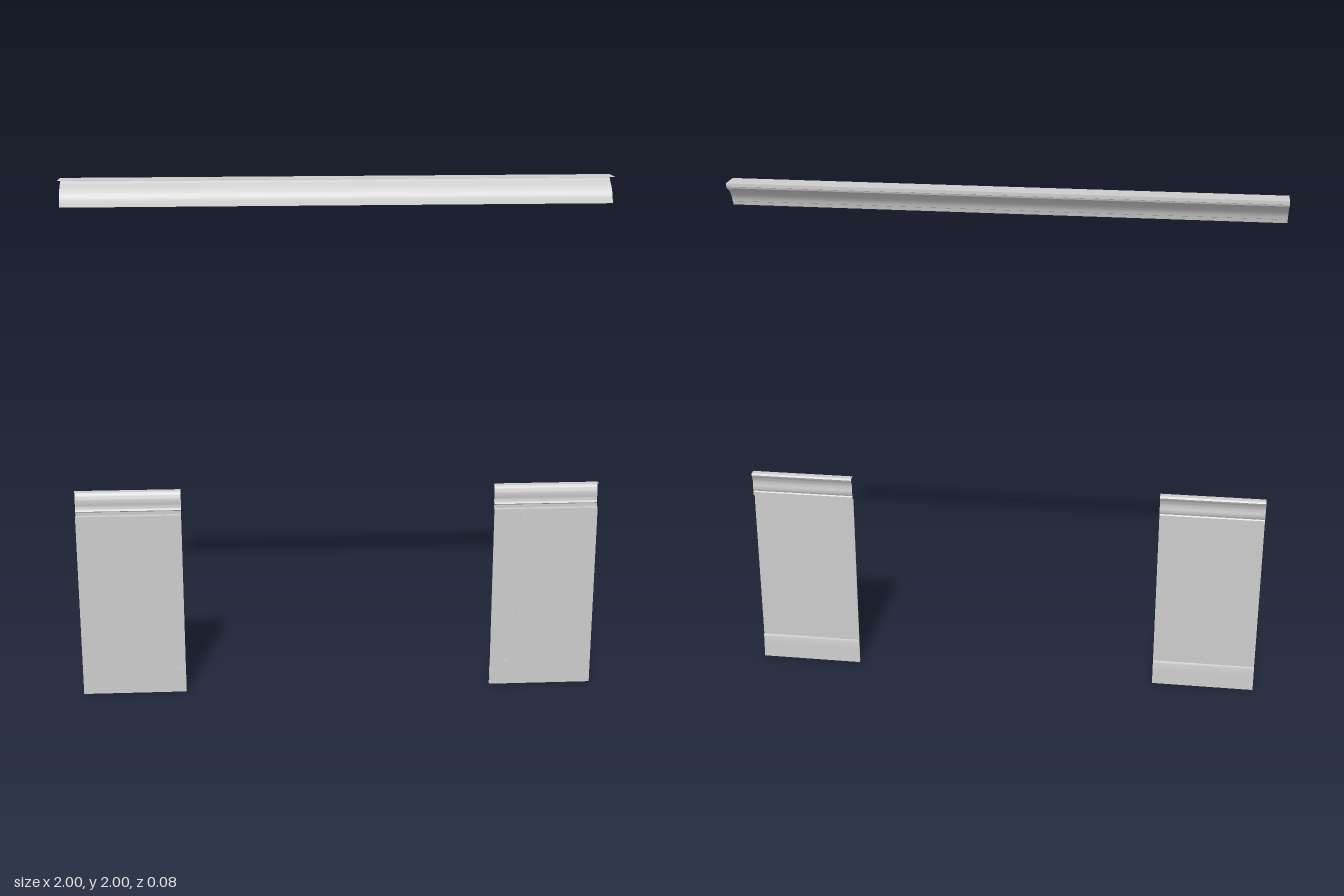
import * as THREE from 'three';
import { toCreasedNormals } from 'three/addons/utils/BufferGeometryUtils.js';

const WALL = 0.042; // z of the wall plane; the mouldings project towards -z
const material = new THREE.MeshStandardMaterial({ color: 0xcccccc, side: THREE.DoubleSide });

// Smooth run of profile points [z, y]
function smooth(points, divisions) {
  const curve = new THREE.SplineCurve(points.map(([z, y]) => new THREE.Vector2(z, y)));
  return curve.getPoints(divisions).map((p) => [p.x, p.y]);
}

// Open moulding: a profile listed from top to bottom, swept along x
function moulding(name, profile, x0, x1) {
  const pos = [];
  for (let i = 0; i < profile.length - 1; i++) {
    const [za, ya] = profile[i];
    const [zb, yb] = profile[i + 1];
    pos.push(x0, ya, za, x1, ya, za, x1, yb, zb);
    pos.push(x0, ya, za, x1, yb, zb, x0, yb, zb);
  }
  const geometry = new THREE.BufferGeometry();
  geometry.setAttribute('position', new THREE.Float32BufferAttribute(pos, 3));
  const mesh = new THREE.Mesh(toCreasedNormals(geometry, 0.7), material);
  mesh.name = name;
  return mesh;
}

// Thin upright board between two corners
function board(name, x0, x1, y0, y1, z0, z1) {
  const mesh = new THREE.Mesh(new THREE.BoxGeometry(x1 - x0, y1 - y0, z1 - z0), material);
  mesh.position.set((x0 + x1) / 2, (y0 + y1) / 2, (z0 + z1) / 2);
  mesh.name = name;
  return mesh;
}

// Ceiling cove with a flat top and small lips at both ends
const crownProfile = [
  [WALL, 2], [-WALL, 2], [-WALL, 1.988], [-0.036, 1.986],
  ...smooth([[-0.034, 1.98], [-0.012, 1.967], [0.005, 1.952], [0.017, 1.935], [0.022, 1.92]], 12),
  [0.027, 1.918], [0.03, 1.905], [WALL, 1.905],
];

// Chair rail: overhanging nose, cove and small bead
const railProfile = [
  [WALL, 0.832],
  ...smooth([[0.018, 0.832], [0.013, 0.826], [0.017, 0.818]], 6),
  ...smooth([[0.02, 0.814], [0.026, 0.798], [0.026, 0.78], [0.024, 0.765], [0.03, 0.752]], 10),
  [0.026, 0.748], [0.026, 0.735], [WALL, 0.735],
];

// Baseboard with an eased top edge
const basePropfile = [
  [WALL, 0.1], [0.035, 0.1],
  ...smooth([[0.033, 0.096], [0.03, 0.07], [0.029, 0.03], [0.028, 0]], 8),
  [WALL, 0],
];

export function createModel() {
  const model = new THREE.Group();
  model.name = 'wallMouldings';
  model.add(moulding('crownMoulding', crownProfile, -1, 1));

  // Wainscot on both sides of the opening
  for (const [side, s] of [['left', 1], ['right', -1]]) {
    const wainscot = new THREE.Group();
    wainscot.name = side + 'Wainscot';
    const span = (a, b) => (s > 0 ? [a, b] : [-b, -a]);
    wainscot.add(
      board('wallPanel', ...span(0.7, 1), 0, 0.735, 0.037, WALL),
      board('innerStile', ...span(0.6, 0.7), 0, 0.735, 0.036, WALL - 0.001),
      moulding('chairRail', railProfile, ...span(0.6, 1)),
      moulding('baseboard', basePropfile, ...span(0.6, 1)),
    );
    model.add(wainscot);
  }
  return model;
}
